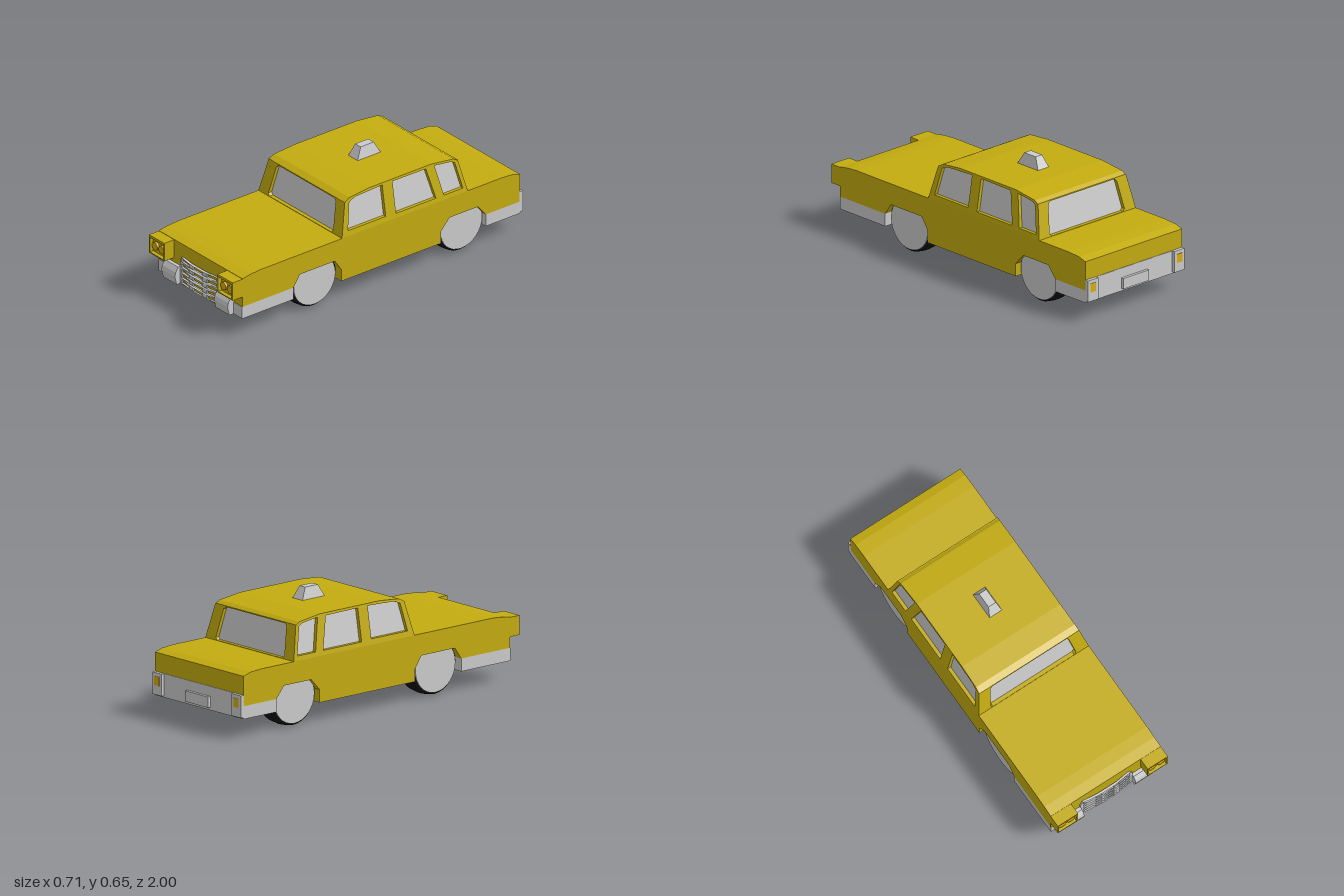
import * as THREE from 'three';

const mat = (color) => new THREE.MeshStandardMaterial({ color });
const YELLOW = mat(0xc4ac10), GREY = mat(0xcccccc), BLACK = mat(0x111111), LAMP = mat(0xd8ac10);

const BELT = 0.365, HALF = 0.355;

export function createModel() {
  const car = new THREE.Group();
  car.name = 'taxi';

  const add = (name, geo, material) => {
    const mesh = new THREE.Mesh(geo, material);
    mesh.name = name;
    car.add(mesh);
    return mesh;
  };
  const box = (name, x0, x1, y0, y1, z0, z1, material) => {
    const g = new THREE.BoxGeometry(x1 - x0, y1 - y0, z1 - z0);
    g.translate((x0 + x1) / 2, (y0 + y1) / 2, (z0 + z1) / 2);
    return add(name, g, material);
  };
  const shapeOf = (pts, holes = []) => {
    const s = new THREE.Shape(pts.map((p) => new THREE.Vector2(...p)));
    for (const h of holes) s.holes.push(new THREE.Path(h.map((p) => new THREE.Vector2(...p))));
    return s;
  };
  const extrude = (pts, depth, holes) =>
    new THREE.ExtrudeGeometry(shapeOf(pts, holes), { depth, bevelEnabled: false });
  // Extrude a (z, y) outline across x from x0 to x1
  const across = (pts, x0, x1, holes) =>
    extrude(pts, x1 - x0, holes).rotateY(-Math.PI / 2).translate(x1, 0, 0);
  // Move each vertex by a rule and rebuild the normals
  const warp = (g, rule) => {
    const p = g.attributes.position, v = new THREE.Vector3();
    for (let i = 0; i < p.count; i++) {
      v.fromBufferAttribute(p, i);
      rule(v);
      p.setXYZ(i, v.x, v.y, v.z);
    }
    g.computeVertexNormals();
    return g;
  };
  // Lean the cabin sides inward above the belt line
  const taper = (g) => warp(g, (v) => {
    v.x -= Math.sign(v.x) * Math.max(0, v.y - BELT) * 0.17;
  });
  const rect = (x0, x1, y0, y1) => [[x0, y0], [x1, y0], [x1, y1], [x0, y1]];

  // Lower body: solid middle plus sides with wheel arches
  const deck = [[0.93, 0.35], [0.87, 0.36], [0.8, BELT], [-0.85, BELT], [-0.93, 0.36], [-0.98, 0.345]];
  const sideOutline = [
    ...deck, [-0.98, 0.18], [-0.745, 0.18], [-0.69, 0.245], [-0.495, 0.245], [-0.435, 0.18], [-0.435, 0.11],
    [0.25, 0.11], [0.25, 0.18], [0.295, 0.245], [0.535, 0.245], [0.58, 0.18], [0.93, 0.18],
  ];
  add('bodyMiddle', across([...deck, [-0.98, 0.24], [0.93, 0.24]], -0.2, 0.2), YELLOW);
  add('leftBodySide', across(sideOutline, 0.2, HALF), YELLOW);
  add('rightBodySide', across(sideOutline, -HALF, -0.2), YELLOW);
  box('chassis', -0.2, 0.2, 0.11, 0.24, -0.975, 0.925, GREY);
  box('grilleBacking', -0.2, 0.2, 0.112, 0.24, 0.9, 0.93, YELLOW);
  for (const [z0, z1] of [[0.58, 0.93], [-0.435, 0.25], [-0.98, -0.745]])
    box('underside', -HALF + 0.001, HALF - 0.001, 0.108, 0.112, z0, z1, GREY);

  // Cabin
  const cabin = [
    [0.245, BELT], [0.2, 0.555], [0.165, 0.573], [0.03, 0.585],
    [-0.4, 0.585], [-0.55, 0.567], [-0.578, 0.55], [-0.62, BELT],
  ];
  const windows = [
    [[0.2, 0.395], [0.17, 0.548], [0.13, 0.565], [-0.06, 0.573], [-0.06, 0.395]],
    [[-0.13, 0.39], [-0.13, 0.572], [-0.36, 0.57], [-0.405, 0.39]],
    [[-0.46, 0.39], [-0.418, 0.57], [-0.53, 0.557], [-0.565, 0.54], [-0.6, 0.39]],
  ];
  add('leftWindowFrame', taper(across(cabin, 0.33, HALF, windows)), YELLOW);
  add('rightWindowFrame', taper(across(cabin, -HALF, -0.33, windows)), YELLOW);
  add('roof', taper(across(cabin.slice(1, 7), -0.331, 0.331)), YELLOW);
  const glass = [
    [0.222, BELT], [0.18, 0.555], [0.14, 0.569], [0.03, 0.578],
    [-0.4, 0.578], [-0.53, 0.56], [-0.558, 0.549], [-0.598, BELT],
  ];
  add('glass', taper(across(glass, -0.335, 0.335)), GREY);

  // Windscreen and rear window frames, leaning with the cabin
  const screenHole = [
    [-0.262, 0.367], [0.262, 0.367], [0.275, 0.38], [0.252, 0.535],
    [0.238, 0.548], [-0.238, 0.548], [-0.252, 0.535], [-0.275, 0.38],
  ];
  const topHalf = HALF - (0.554 - BELT) * 0.17;
  const screen = [[-HALF, BELT], [HALF, BELT], [topHalf, 0.554], [-topHalf, 0.554]];
  const screenFrame = (name, z, lean) =>
    add(name, warp(extrude(screen, 0.024, [screenHole]), (v) => { v.z += z + (v.y - BELT) * lean; }), YELLOW);
  screenFrame('windscreenFrame', 0.221, -0.237);
  screenFrame('rearWindowFrame', -0.62, 0.227);

  // Roof sign
  const sign = new THREE.BoxGeometry(0.08, 0.066, 0.16).toNonIndexed();
  add('roofSign', warp(sign, (v) => {
    if (v.y > 0) { v.x *= 0.58; v.z *= 0.56; }
    v.y += 0.617;
    v.z -= 0.197;
  }), GREY);

  // Grille, bowed forward in the middle
  const slots = [];
  for (const x of [-0.113, 0, 0.111])
    for (const y of [0.13, 0.161, 0.193, 0.226, 0.26])
      slots.push(rect(x - 0.038, x + 0.038, y - 0.01, y + 0.01));
  const grilleOutline = [
    [-0.168, 0.11], [-0.06, 0.11], [0.06, 0.11], [0.168, 0.11], [0.168, 0.245], [0.153, 0.274],
    [0.06, 0.274], [-0.06, 0.274], [-0.153, 0.274], [-0.168, 0.245],
  ];
  add('grille', warp(extrude(grilleOutline, 0.012, slots), (v) => {
    v.z += 0.925 + 0.016 * (1 - (v.x / 0.168) ** 2);
  }), GREY);

  // Parts mirrored left and right
  const padProfile = [[0.92, 0.11], [0.96, 0.11], [0.973, 0.16], [0.968, 0.185], [0.95, 0.213], [0.92, 0.213]];
  for (const s of [1, -1]) {
    const side = s > 0 ? 'left' : 'right';
    const mbox = (name, x0, x1, ...rest) =>
      box(side + name, Math.min(s * x0, s * x1), Math.max(s * x0, s * x1), ...rest);

    // Headlight housing with a recessed pair of lamps
    const rim = extrude(rect(-0.065, 0.065, 0.24, 0.348), 0.07, [rect(-0.058, 0.056, 0.246, 0.334)]);
    add(side + 'HeadlightHousing', rim.translate(s * 0.29, 0, 0.928), YELLOW);
    mbox('HeadlightPlate', 0.23, 0.35, 0.242, 0.34, 0.93, 0.975, YELLOW);
    for (const x of [0.263, 0.319]) {
      const lamp = new THREE.CylinderGeometry(0.023, 0.023, 0.015, 24).rotateX(Math.PI / 2);
      add(side + 'Headlight', lamp.translate(s * x, 0.288, 0.981), LAMP);
    }

    // Bumpers, sills and tail lamps
    const pad = s > 0 ? [0.166, 0.281] : [-0.281, -0.166];
    add(side + 'FrontBumperPad', across(padProfile, ...pad), GREY);
    mbox('FrontSill', 0.2, HALF, 0.11, 0.18, 0.58, 0.932, GREY);
    mbox('RearSill', 0.2, HALF, 0.11, 0.18, -0.98, -0.745, GREY);
    mbox('RearBumperCorner', 0.28, HALF, 0.118, 0.24, -1, -0.975, GREY);
    mbox('TailLamp', 0.298, 0.338, 0.17, 0.22, -1.002, -0.99, LAMP);

    // Wheels: bevelled tyre with a flat disc
    for (const [end, z] of [['Front', 0.415], ['Rear', -0.595]]) {
      const wheel = new THREE.Group();
      wheel.name = side + end + 'Wheel';
      const profile = [[0, -0.06], [0.135, -0.06], [0.154, -0.05], [0.16, 0], [0.154, 0.05], [0.135, 0.06], [0, 0.06]];
      const tyre = new THREE.Mesh(
        new THREE.LatheGeometry(profile.map((p) => new THREE.Vector2(...p)), 32).rotateZ(-Math.PI / 2), BLACK);
      tyre.name = 'tyre';
      const disc = new THREE.Mesh(
        new THREE.CylinderGeometry(0.143, 0.143, 0.012, 32).rotateZ(Math.PI / 2).translate(s * 0.056, 0, 0), GREY);
      disc.name = 'wheelDisc';
      wheel.add(tyre, disc);
      wheel.position.set(s * 0.27, 0.16, z);
      car.add(wheel);
    }
  }

  // Rear panel and number plate
  box('rearPanel', -HALF + 0.001, HALF - 0.001, 0.112, 0.24, -0.983, -0.96, GREY);
  box('rearPlate', -0.093, 0.093, 0.125, 0.185, -1, -0.98, GREY);
  return car;
}
